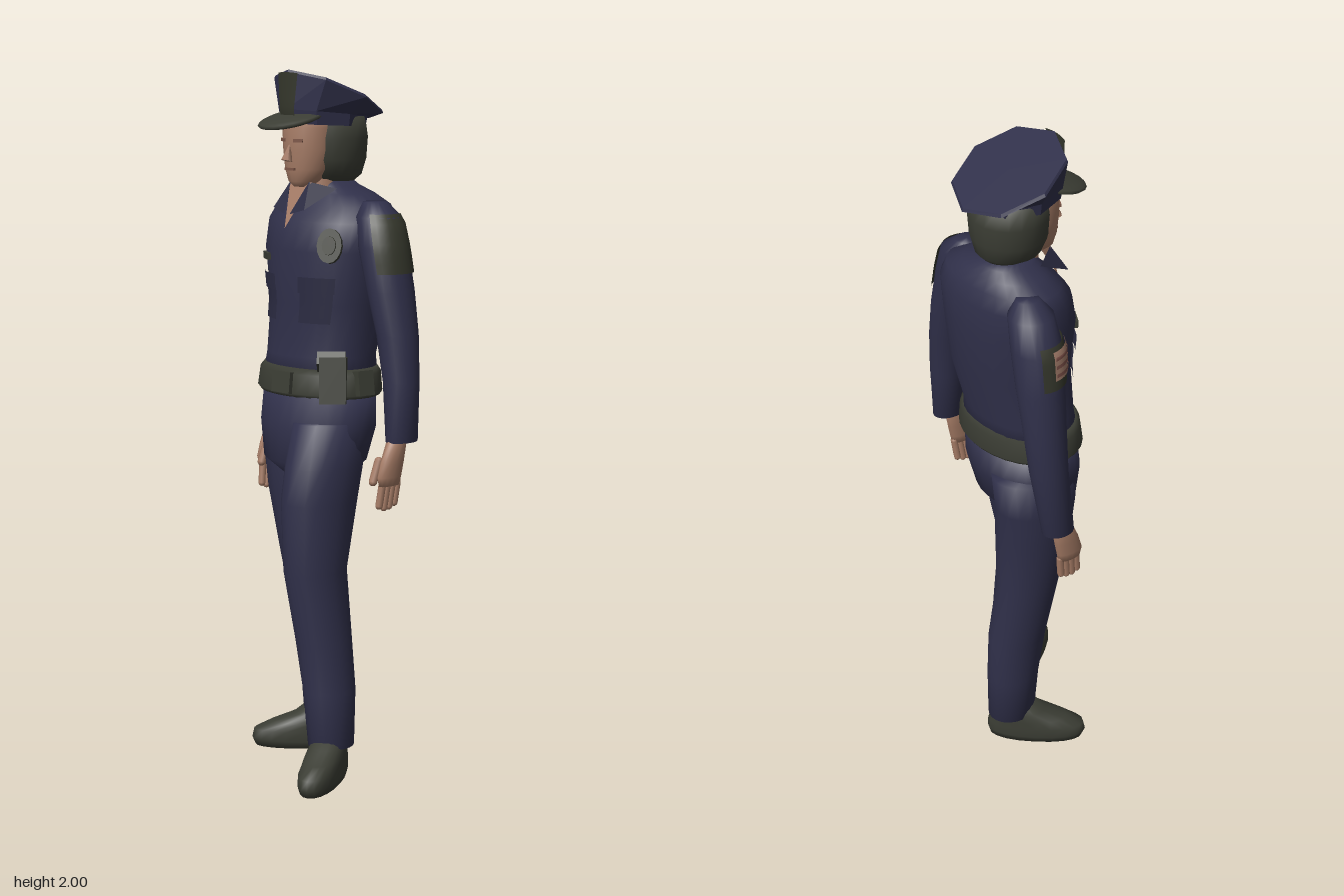
import * as THREE from 'three';

const mat = (name, color, side = THREE.FrontSide) => {
  const m = new THREE.MeshStandardMaterial({ color, side });
  m.name = name;
  return m;
};

// Body surface: rings are [centreX, y, centreZ, radiusX, radiusZ, tilt], listed bottom to top.
// Angle 0 faces +z and grows towards +x.
function surface(rings, { yaw = 0, pow = 2 } = {}) {
  const c = Math.cos(yaw), s = Math.sin(yaw);
  const bend = (v) => Math.sign(v) * Math.abs(v) ** (2 / pow);
  return (a, y, off = 0) => {
    let i = 0;
    while (i < rings.length - 2 && y > rings[i + 1][1]) i++;
    const p = rings[i], q = rings[i + 1];
    const t = (y - p[1]) / (q[1] - p[1]);
    const [cx, yy, cz, rx, rz, tilt] = [0, 1, 2, 3, 4, 5].map((k) => (p[k] ?? 0) * (1 - t) + (q[k] ?? 0) * t);
    const lx = bend(Math.sin(a)) * (rx + off), lz = bend(Math.cos(a)) * (rz + off);
    return new THREE.Vector3(cx + lx * c + lz * s, yy + tilt * lz, cz - lx * s + lz * c);
  };
}

function gridGeometry(rows, closed) {
  const n = rows[0].length, pos = rows.flat().flatMap((v) => v.toArray()), idx = [];
  for (let j = 0; j < rows.length - 1; j++) {
    for (let i = 0; i < (closed ? n : n - 1); i++) {
      const a = j * n + i, b = j * n + (i + 1) % n;
      idx.push(a, b, b + n, a, b + n, a + n);
    }
  }
  // Close both ends with fans
  if (closed) for (const j of [0, rows.length - 1]) {
    const mid = rows[j].reduce((s, v) => s.add(v), new THREE.Vector3()).divideScalar(n);
    const k = pos.length / 3;
    pos.push(...mid.toArray());
    for (let i = 0; i < n; i++) {
      const a = j * n + i, b = j * n + (i + 1) % n;
      idx.push(...(j ? [a, b, k] : [b, a, k]));
    }
  }
  const g = new THREE.BufferGeometry();
  g.setAttribute('position', new THREE.Float32BufferAttribute(pos, 3));
  g.setIndex(idx);
  g.computeVertexNormals();
  return g;
}

function loft(rings, opts = {}) {
  const { n = 20, flat = false } = opts, s = surface(rings, opts);
  const rows = rings.map((r) => Array.from({ length: n }, (_, i) => s(i / n * Math.PI * 2, r[1])));
  let g = gridGeometry(rows, true);
  if (flat) { g = g.toNonIndexed(); g.computeVertexNormals(); }
  return g;
}

// Thin piece of cloth lying on a surface
function patch(s, a0, a1, y0, y1, off = 0.006) {
  const rows = Array.from({ length: 7 }, (_, j) => Array.from({ length: 9 }, (_, i) =>
    s(a0 + (a1 - a0) * i / 8, y0 + (y1 - y0) * j / 6, off)));
  return gridGeometry(rows, false);
}

export function createModel() {
  const root = new THREE.Group();
  const navy = mat('navyCloth', 0x30304a), navyTrim = mat('navyTrim', 0x2b2b42, THREE.DoubleSide);
  const olive = mat('darkOlive', 0x3b3d34), patchOlive = mat('patchOlive', 0x34362b, THREE.DoubleSide);
  const skin = mat('skin', 0xa67c66, THREE.DoubleSide), shade = mat('faceShade', 0x80594a);
  const flagMat = mat('flagCloth', 0xa07a68, THREE.DoubleSide), stripeMat = mat('flagStripe', 0x7c5048, THREE.DoubleSide);
  const add = (name, g, m, parent = root) => {
    const mesh = new THREE.Mesh(g, m);
    mesh.name = name;
    parent.add(mesh);
    return mesh;
  };
  // Set a mesh on a surface, facing outwards
  const place = (mesh, s, a, y) => {
    const p = s(a, y);
    const du = s(a + 0.02, y).sub(p), dv = s(a, y + 0.01).sub(p);
    mesh.position.copy(p);
    mesh.lookAt(p.clone().add(du.cross(dv).normalize()));
    return mesh;
  };
  const triangle = (...pts) => {
    const g = new THREE.BufferGeometry();
    g.setAttribute('position', new THREE.Float32BufferAttribute(pts.flat(), 3));
    g.computeVertexNormals();
    return g;
  };

  // Shirt
  const torsoRings = [
    [-0.02, 1.1, -0.06, 0.185, 0.135], [-0.025, 1.2, -0.07, 0.168, 0.13], [-0.01, 1.35, -0.088, 0.178, 0.146],
    [-0.01, 1.5, -0.09, 0.2, 0.152], [-0.01, 1.58, -0.1, 0.205, 0.14], [-0.015, 1.625, -0.11, 0.185, 0.115],
    [-0.025, 1.655, -0.115, 0.13, 0.09], [-0.03, 1.675, -0.11, 0.08, 0.075], [-0.03, 1.69, -0.105, 0.062, 0.065]];
  const torsoOpts = { yaw: 0.12, pow: 2.2, n: 28 };
  const torso = surface(torsoRings, torsoOpts);
  add('shirt', loft(torsoRings, torsoOpts), navy);
  for (const [a0, a1] of [[-0.95, -0.36], [0.12, 0.7]]) {
    add('chestPocket', patch(torso, a0, a1, 1.3, 1.39, 0.005), navyTrim);
    add('pocketFlap', patch(torso, a0 - 0.02, a1 + 0.02, 1.385, 1.43, 0.009), navyTrim);
  }
  add('openCollar', triangle([-0.078, 1.69, 0.0], [-0.03, 1.56, 0.06], [0.018, 1.69, 0.0]), skin);
  for (const s of [-1, 1]) {
    const p = (x, y, z) => [-0.03 + s * x, y, z];
    add('collarFlap', triangle(p(0.04, 1.69, 0.004), p(0.012, 1.6, 0.052), p(0.068, 1.615, 0.045)), navyTrim);
    add('collarSide', triangle(p(0.04, 1.69, 0.004), p(0.068, 1.615, 0.045), p(0.085, 1.67, -0.06)), navyTrim);
  }
  const badge = new THREE.CylinderGeometry(0.036, 0.036, 0.02, 16).rotateX(Math.PI / 2).scale(1, 1.35, 1);
  place(add('chestBadge', badge, olive), torso, 0.58, 1.52);
  const badgeCentre = new THREE.CylinderGeometry(0.02, 0.024, 0.028, 12).rotateX(Math.PI / 2).scale(1, 1.3, 1);
  place(add('badgeCentre', badgeCentre, patchOlive), torso, 0.58, 1.52);
  place(add('nameBar', new THREE.BoxGeometry(0.055, 0.02, 0.014), olive), torso, -0.72, 1.475);

  // Belt with buckle and pouches
  const beltRings = [[-0.02, 1.09, -0.06, 0.195, 0.143], [-0.02, 1.1, -0.06, 0.203, 0.15],
    [-0.02, 1.155, -0.062, 0.195, 0.146], [-0.02, 1.17, -0.063, 0.182, 0.137]];
  const belt = surface(beltRings, { yaw: 0.1 });
  add('belt', loft(beltRings, { yaw: 0.1, n: 28 }), olive);
  place(add('buckle', new THREE.BoxGeometry(0.07, 0.06, 0.02), olive), belt, 0, 1.13);
  place(add('largePouch', new THREE.BoxGeometry(0.075, 0.13, 0.07), olive), belt, 0.85, 1.145);
  place(add('pouchFlap', new THREE.BoxGeometry(0.08, 0.04, 0.085), olive), belt, 0.85, 1.185);
  place(add('smallPouch', new THREE.BoxGeometry(0.05, 0.07, 0.035), olive), belt, 1.4, 1.135);

  // Trousers
  add('hips', loft([[-0.01, 0.84, -0.03, 0.05, 0.07], [-0.01, 0.9, -0.035, 0.165, 0.135],
    [-0.015, 1.0, -0.05, 0.192, 0.146], [-0.02, 1.1, -0.06, 0.188, 0.14]], { n: 28 }), navy);
  add('leftLeg', loft([[0.16, 0.095, 0.045, 0.063, 0.068], [0.14, 0.25, 0.035, 0.067, 0.08], [0.12, 0.4, 0.04, 0.074, 0.085],
    [0.1, 0.6, 0.055, 0.079, 0.097], [0.094, 0.8, 0.035, 0.09, 0.12], [0.088, 0.9, 0.012, 0.093, 0.122],
    [0.075, 1.02, -0.01, 0.09, 0.105]]), navy);
  add('rightLeg', loft([[-0.055, 0.09, -0.122, 0.064, 0.073], [-0.062, 0.25, -0.12, 0.07, 0.08], [-0.07, 0.4, -0.11, 0.074, 0.09],
    [-0.083, 0.6, -0.08, 0.083, 0.095], [-0.097, 0.8, -0.07, 0.097, 0.116], [-0.103, 0.9, -0.068, 0.1, 0.122],
    [-0.108, 1.02, -0.075, 0.1, 0.13]]), navy);

  // Shoes
  for (const [name, x, z, yaw] of [['leftShoe', 0.155, 0.045, 0.57], ['rightShoe', -0.063, -0.112, -0.69]]) {
    const shoe = add(name, loft([[0, 0, 0.062, 0.05, 0.142], [0, 0.022, 0.064, 0.056, 0.15], [0, 0.05, 0.062, 0.055, 0.146],
      [0, 0.075, 0.04, 0.053, 0.115], [0, 0.1, 0.01, 0.05, 0.078], [0, 0.13, -0.005, 0.042, 0.055]], { pow: 2.2 }), olive);
    shoe.position.set(x, 0, z);
    shoe.rotation.y = yaw;
  }

  // Sleeves
  const leftRings = [[0.302, 0.985, -0.09, 0.037, 0.05], [0.287, 1.15, -0.1, 0.05, 0.052], [0.27, 1.28, -0.1, 0.056, 0.061],
    [0.24, 1.4, -0.1, 0.062, 0.07], [0.213, 1.52, -0.095, 0.068, 0.071], [0.188, 1.6, -0.1, 0.064, 0.065],
    [0.165, 1.64, -0.105, 0.03, 0.035]];
  const rightRings = [[-0.298, 0.94, -0.13, 0.038, 0.048], [-0.287, 1.15, -0.155, 0.052, 0.055], [-0.275, 1.28, -0.16, 0.056, 0.061],
    [-0.256, 1.4, -0.16, 0.064, 0.067], [-0.235, 1.52, -0.158, 0.07, 0.07], [-0.2, 1.6, -0.152, 0.062, 0.062],
    [-0.18, 1.635, -0.148, 0.03, 0.032]];
  add('leftSleeve', loft(leftRings), navy);
  add('rightSleeve', loft(rightRings), navy);
  add('leftShoulderPatch', patch(surface(leftRings), 0.5, 2.4, 1.45, 1.61), patchOlive);
  const rightArm = surface(rightRings);
  add('rightSleevePatch', patch(rightArm, -2, -0.1, 1.425, 1.545, 0.005), patchOlive);
  add('flagPatch', patch(rightArm, -1.55, -0.3, 1.455, 1.535, 0.009), flagMat);
  for (let i = 0; i < 3; i++) {
    add('flagStripe', patch(rightArm, -1.5, -0.35, 1.465 + i * 0.024, 1.475 + i * 0.024, 0.011), stripeMat);
  }

  // Hands, hanging from the cuffs
  for (const [side, x, y, z] of [[1, 0.302, 0.99, -0.075], [-1, -0.298, 0.95, -0.12]]) {
    const hand = new THREE.Group();
    hand.name = side > 0 ? 'leftHand' : 'rightHand';
    hand.position.set(x, y, z);
    root.add(hand);
    add('palm', loft([[0, -0.125, 0.03, 0.014, 0.036], [0, -0.1, 0.03, 0.018, 0.042], [0, -0.06, 0.02, 0.02, 0.04],
      [0, 0.01, 0, 0.024, 0.03]], { n: 12 }), skin, hand);
    for (let i = 0; i < 4; i++) {
      const finger = add('finger', new THREE.CapsuleGeometry(0.0105, 0.06 + [0, 0.016, 0.02, 0.006][i], 3, 8), skin, hand);
      finger.position.set(-side * 0.004, -0.148, 0.003 + i * 0.018);
      finger.rotation.set(-0.12, 0, -side * 0.08);
    }
    const thumb = add('thumb', new THREE.CapsuleGeometry(0.012, 0.06, 3, 8), skin, hand);
    thumb.position.set(-side * 0.02, -0.085, 0.062);
    thumb.rotation.x = -0.35;
  }

  // Head
  const faceRings = [[-0.03, 1.675, -0.005, 0.025, 0.025], [-0.03, 1.69, -0.012, 0.045, 0.045], [-0.03, 1.725, -0.03, 0.066, 0.07],
    [-0.03, 1.78, -0.035, 0.077, 0.078], [-0.03, 1.84, -0.035, 0.08, 0.08], [-0.03, 1.88, -0.04, 0.078, 0.075]];
  const face = surface(faceRings);
  add('face', loft(faceRings), skin);
  add('neck', new THREE.CylinderGeometry(0.055, 0.06, 0.14, 16), skin).position.set(-0.03, 1.67, -0.075);
  add('hair', loft([[-0.03, 1.685, -0.11, 0.06, 0.065], [-0.03, 1.705, -0.105, 0.09, 0.09], [-0.03, 1.75, -0.102, 0.108, 0.104],
    [-0.03, 1.81, -0.102, 0.113, 0.108], [-0.03, 1.87, -0.1, 0.108, 0.1]]), olive);
  const nose = add('nose', new THREE.ConeGeometry(0.017, 0.055, 6), skin);
  nose.position.set(-0.03, 1.775, 0.045);
  nose.rotation.x = -0.25;
  place(add('mouth', new THREE.BoxGeometry(0.04, 0.007, 0.008), shade), face, 0, 1.725);
  for (const s of [-1, 1]) place(add('eye', new THREE.BoxGeometry(0.028, 0.009, 0.008), shade), face, s * 0.42, 1.805);

  // Peaked cap
  const capRings = [[-0.03, 1.845, -0.08, 0.113, 0.125, 0.05], [-0.03, 1.878, -0.08, 0.118, 0.132, 0.1],
    [-0.03, 1.925, -0.1, 0.162, 0.148, 0.46], [-0.03, 1.933, -0.1, 0.157, 0.145, 0.46]];
  add('cap', loft(capRings, { n: 8, flat: true }), navy);
  add('capBadge', patch(surface(capRings), -0.26, 0.26, 1.86, 1.924, 0.004), patchOlive);
  const visor = add('visor', new THREE.SphereGeometry(1, 20, 10).scale(0.096, 0.016, 0.1), olive);
  visor.position.set(-0.033, 1.865, 0.03);
  visor.rotation.x = 0.26;
  return root;
}
